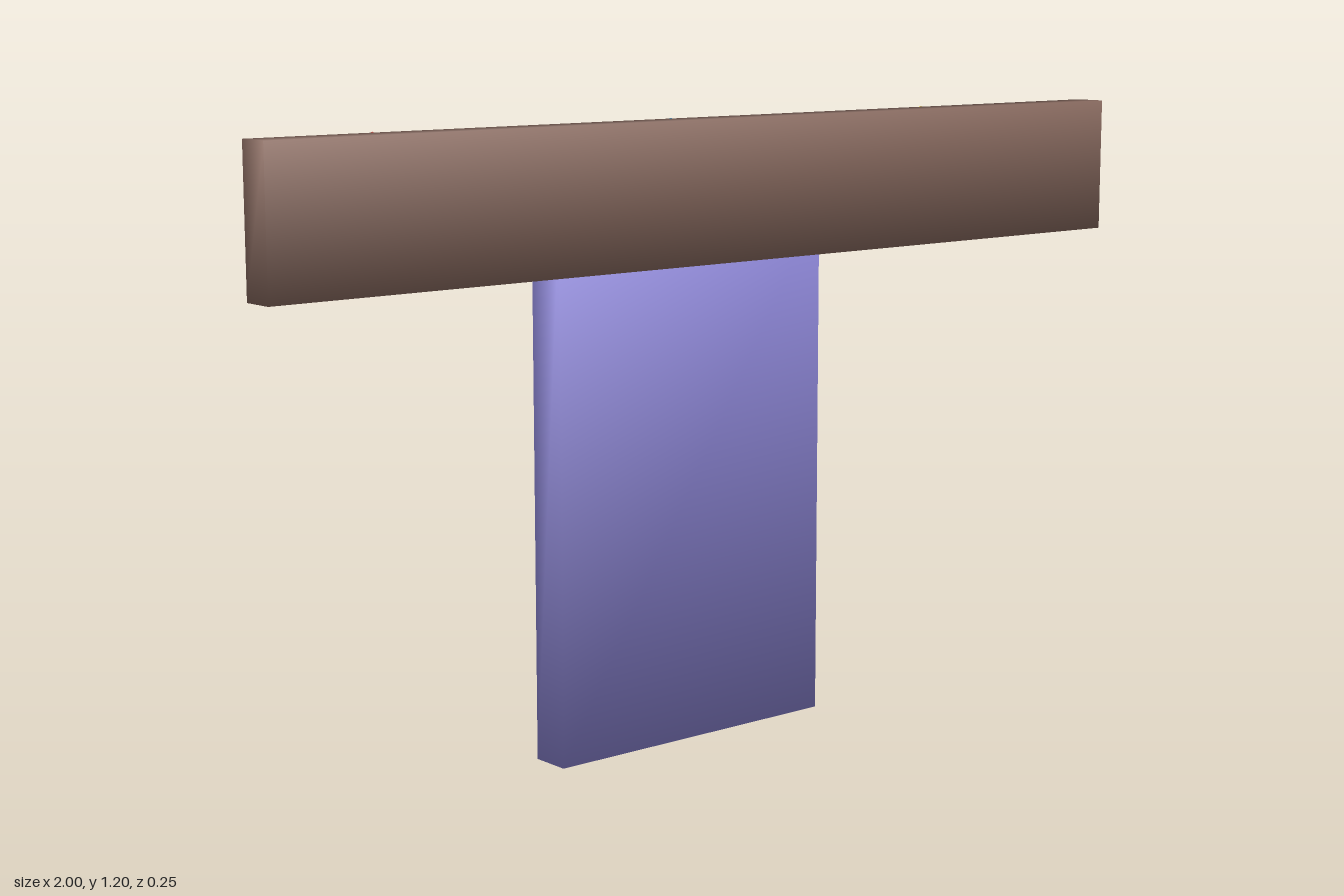
import * as THREE from 'three';

const colour = (name, hex) => {
  const m = new THREE.MeshStandardMaterial({ color: hex });
  m.name = name;
  return m;
};

export function createModel() {
  const group = new THREE.Group();
  const brown = colour('brown wood', 0x8d6e63);
  const lilac = colour('lilac cloth', 0x938cdf);
  const red = colour('red', 0xe25046);
  const blue = colour('blue', 0x3598d4);
  const yellow = colour('yellow', 0xdab610);

  const add = (parent, name, geometry, material) => {
    const mesh = new THREE.Mesh(geometry, material);
    mesh.name = name;
    parent.add(mesh);
    return mesh;
  };

  // Box between two corners, with normals shared at its corners for soft shading
  const softBox = (name, min, max, material) => {
    const size = max.map((v, i) => v - min[i]);
    const geometry = new THREE.BoxGeometry(...size);
    const p = geometry.attributes.position;
    const n = new THREE.Vector3();
    for (let i = 0; i < p.count; i++) {
      n.set(Math.sign(p.getX(i)), Math.sign(p.getY(i)), Math.sign(p.getZ(i))).normalize();
      geometry.attributes.normal.setXYZ(i, n.x, n.y, n.z);
    }
    const mesh = add(group, name, geometry, material);
    mesh.position.set(...max.map((v, i) => (v + min[i]) / 2));
  };

  // Six-sided rod between two points
  const rod = (parent, name, from, to, radius, material) => {
    const a = new THREE.Vector3(...from), b = new THREE.Vector3(...to);
    const mesh = add(parent, name, new THREE.CylinderGeometry(radius, radius, a.distanceTo(b), 6), material);
    mesh.position.copy(a).add(b).multiplyScalar(0.5);
    mesh.quaternion.setFromUnitVectors(new THREE.Vector3(0, 1, 0), b.sub(a).normalize());
  };

  // Wall board and hanging towel
  softBox('board', [-1, 0.936, 0.062], [1, 1.2, 0.127], brown);
  softBox('towel', [-0.32, 0, -0.08], [0.32, 1.015, 0], lilac);

  // Hanging loop over the middle peg
  const loop = new THREE.Group();
  loop.name = 'hangingLoop';
  group.add(loop);
  for (const s of [-1, 1]) {
    rod(loop, 'loopLeg', [s * 0.093, 1.0, -0.028], [s * 0.046, 1.135, -0.028], 0.02, lilac);
  }
  rod(loop, 'loopTop', [-0.052, 1.125, -0.028], [0.052, 1.125, -0.028], 0.018, lilac);

  // Slanted pegs with ball ends
  [[-0.667, red], [0, blue], [0.667, yellow]].forEach(([x, material]) => {
    const peg = new THREE.Group();
    peg.name = 'peg';
    peg.position.x = x;
    group.add(peg);
    rod(peg, 'pegShaft', [0, 1.022, 0.032], [0, 1.168, -0.036], 0.031, material);
    const ball = add(peg, 'pegBall', new THREE.SphereGeometry(0.056, 6, 4).rotateY(Math.PI / 2), material);
    ball.position.set(0, 1.136, -0.069);
  });

  return group;
}
